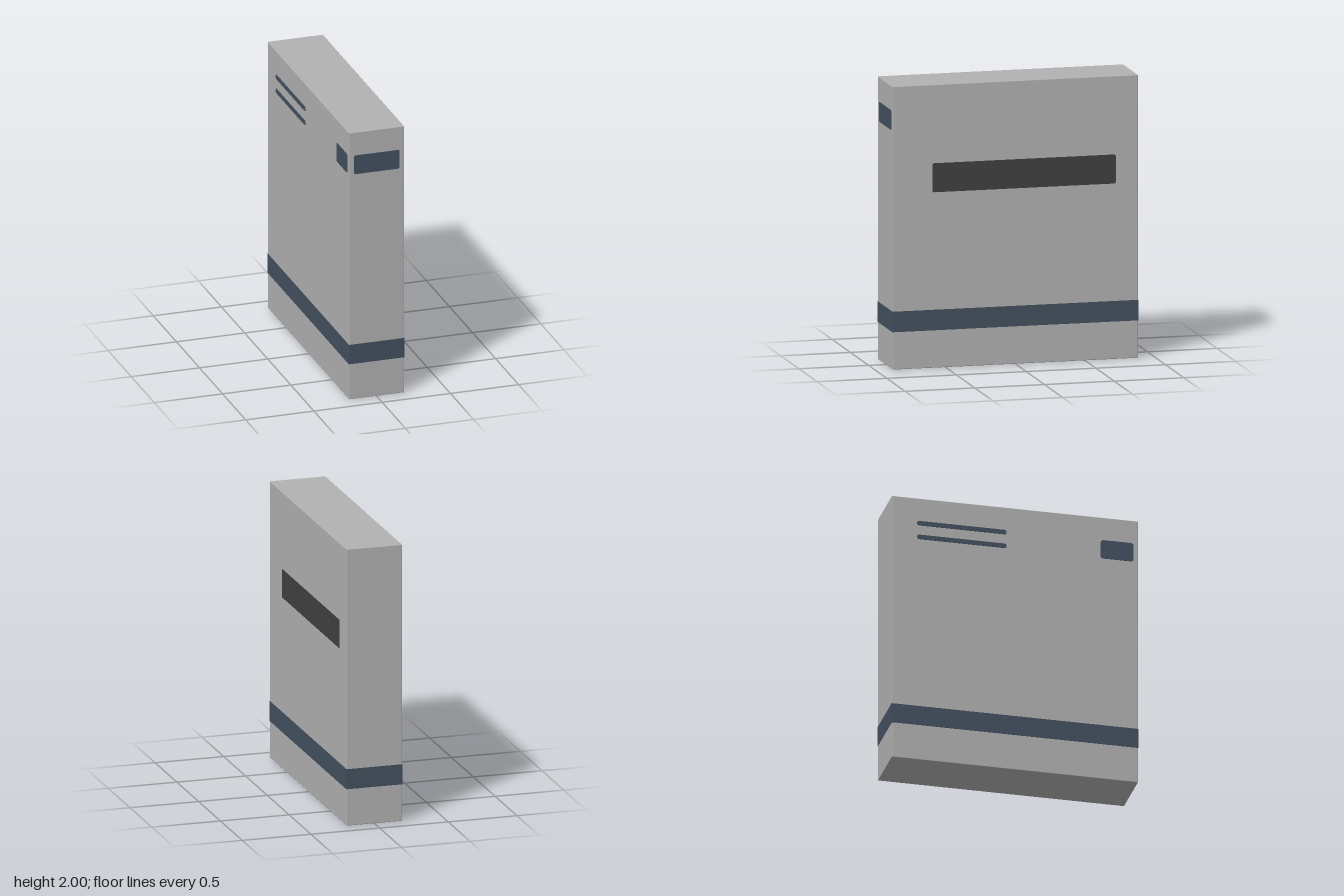
import * as THREE from 'three';
import { RoundedBoxGeometry } from 'three/addons/geometries/RoundedBoxGeometry.js';

const W = 0.404, H = 2, D = 1.76; // overall width, height, depth
const LIFT = 0.004; // thickness of painted plates

const material = (name, color) => {
  const m = new THREE.MeshStandardMaterial({ color });
  m.name = name;
  return m;
};

// Thin plate with rounded corners, lying in the xy plane and facing +z
function plateGeometry(w, h, r) {
  const x = w / 2, y = h / 2;
  const s = new THREE.Shape();
  s.absarc(x - r, y - r, r, 0, Math.PI / 2);
  s.absarc(-x + r, y - r, r, Math.PI / 2, Math.PI);
  s.absarc(-x + r, -y + r, r, Math.PI, Math.PI * 1.5);
  s.absarc(x - r, -y + r, r, Math.PI * 1.5, Math.PI * 2);
  return new THREE.ExtrudeGeometry(s, { depth: LIFT, bevelEnabled: false, curveSegments: 6 });
}

export function createModel() {
  const group = new THREE.Group();
  const grey = material('casing grey', 0xb2b2b2);
  const blue = material('slate blue', 0x435160);
  const dark = material('charcoal', 0x414141);

  const add = (name, geometry, mat, x, y, z, turn = 0) => {
    const mesh = new THREE.Mesh(geometry, mat);
    mesh.name = name;
    mesh.position.set(x, y, z);
    mesh.rotation.y = turn;
    group.add(mesh);
  };

  // Upright slab casing with barely softened edges
  add('casing', new RoundedBoxGeometry(W, H, D, 2, 0.005), grey, 0, H / 2, 0);

  // Stripe running all the way round near the base
  add('baseStripe', new THREE.BoxGeometry(W + 0.004, 0.145, D + 0.004), blue, 0, 0.3375, 0);

  // Front badge
  add('frontBadge', plateGeometry(0.335, 0.14, 0.015), blue, 0, 1.757, D / 2 - 0.001);

  // Long panel on the +x side
  add('sidePanel', plateGeometry(1.315, 0.205, 0.015), dark, W / 2 - 0.001, 1.3425, -0.0625, Math.PI / 2);

  // Badge and two slots on the -x side
  const sideX = -W / 2 + 0.001;
  add('sideBadge', plateGeometry(0.235, 0.14, 0.02), blue, sideX, 1.757, 0.73, -Math.PI / 2);
  for (const y of [1.81, 1.705]) {
    add('slot', plateGeometry(0.64, 0.034, 0.0165), blue, sideX, y, -0.38, -Math.PI / 2);
  }
  return group;
}
